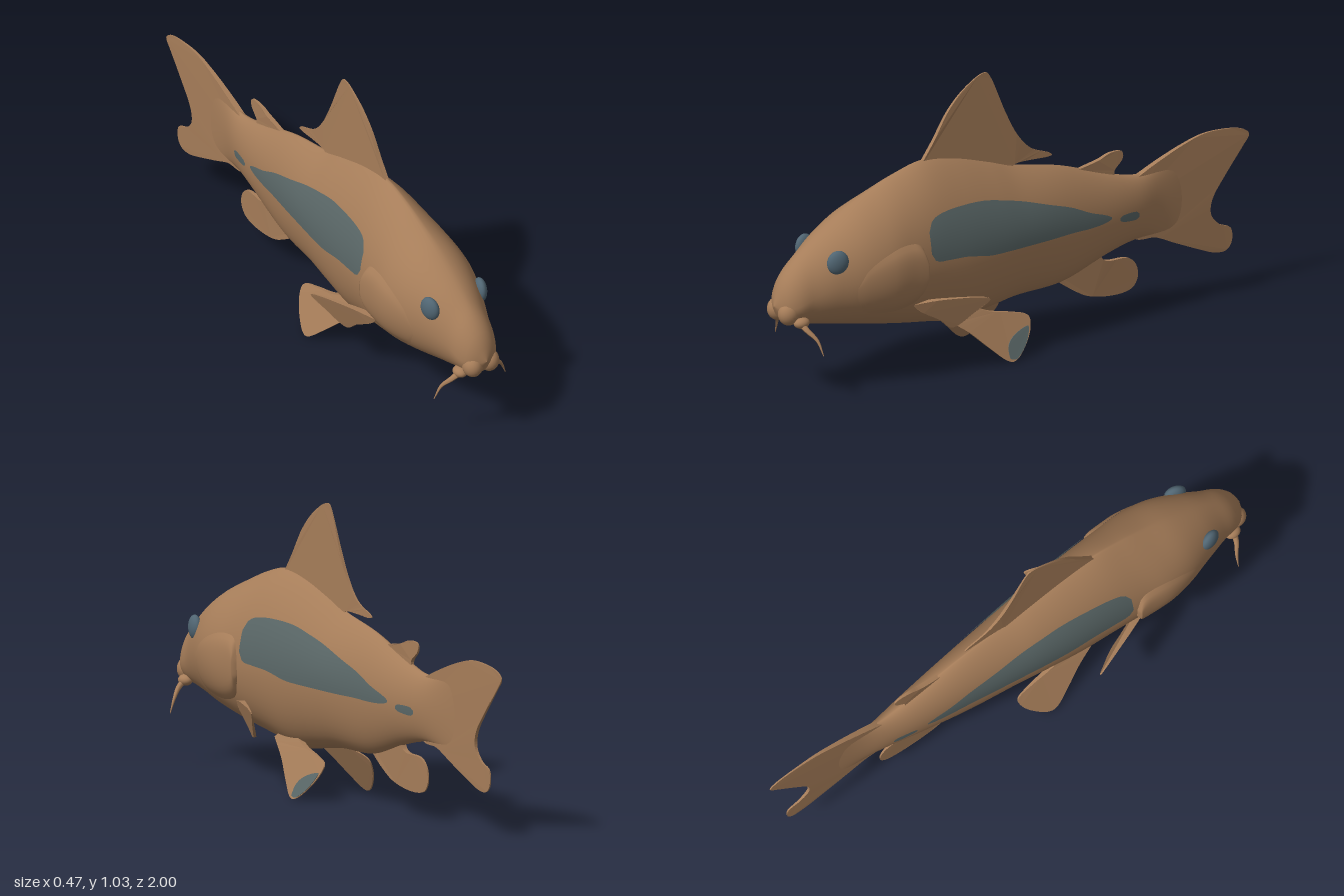
import * as THREE from 'three';

const skin = new THREE.MeshStandardMaterial({ name: 'tan skin', color: 0xa67d59 });
const slate = new THREE.MeshStandardMaterial({ name: 'slate marking', color: 0x5a6767 });
const eyeBlue = new THREE.MeshStandardMaterial({ name: 'blue grey eye', color: 0x506572 });

// Body stations: z, bottom, top, widest height, half width, upper roundness
const STATIONS = [
  [0.998, 0.344, 0.346, 0.345, 0.001, 1], [0.98, 0.3, 0.41, 0.34, 0.045, 1],
  [0.94, 0.275, 0.47, 0.35, 0.075, 1], [0.88, 0.26, 0.525, 0.38, 0.092, 1.1],
  [0.8, 0.245, 0.585, 0.41, 0.122, 1.1], [0.7, 0.225, 0.645, 0.42, 0.155, 1.2],
  [0.6, 0.205, 0.69, 0.42, 0.168, 1.4], [0.5, 0.185, 0.73, 0.42, 0.16, 1.5],
  [0.38, 0.165, 0.76, 0.42, 0.15, 1.6], [0.25, 0.145, 0.745, 0.42, 0.14, 1.7],
  [0.1, 0.165, 0.7, 0.42, 0.125, 1.7], [0, 0.18, 0.665, 0.42, 0.113, 1.7],
  [-0.2, 0.19, 0.62, 0.41, 0.088, 1.5], [-0.4, 0.255, 0.55, 0.4, 0.063, 1.3],
  [-0.52, 0.28, 0.52, 0.4, 0.042, 1.2], [-0.62, 0.27, 0.535, 0.4, 0.02, 1.2],
  [-0.75, 0.23, 0.58, 0.4, 0.004, 1.2],
];

// Smooth interpolation of rows whose first value is a falling z
function sample(rows, z) {
  let i = 0;
  while (i < rows.length - 2 && z < rows[i + 1][0]) i++;
  const a = rows[i], b = rows[i + 1];
  const p = rows[Math.max(i - 1, 0)], n = rows[Math.min(i + 2, rows.length - 1)];
  const h = b[0] - a[0], t = THREE.MathUtils.clamp((z - a[0]) / h, 0, 1);
  return a.map((v, k) => {
    const m0 = h * (b[k] - p[k]) / (b[0] - p[0]), m1 = h * (n[k] - v) / (n[0] - a[0]);
    const t2 = t * t, t3 = t2 * t;
    return v * (2 * t3 - 3 * t2 + 1) + m0 * (t3 - 2 * t2 + t) + b[k] * (3 * t2 - 2 * t3) + m1 * (t3 - t2);
  });
}

// Half width of the body at a height and length
function bodyX(y, z) {
  const [, bot, top, mid, w, p] = sample(STATIONS, z);
  const t = y > mid ? (y - mid) / (top - mid) : (mid - y) / (mid - bot);
  return w * Math.pow(Math.max(0, 1 - t * t), (y > mid ? p : 1) / 2);
}

// Grid surface; columns and rows come from point(i, j)
function gridGeometry(cols, rows, wrap, flip, point) {
  const pos = [], idx = [], per = wrap ? rows : rows + 1;
  for (let i = 0; i <= cols; i++) for (let j = 0; j < per; j++) pos.push(...point(i, j));
  for (let i = 0; i < cols; i++) for (let j = 0; j < rows; j++) {
    const a = i * per + j, c = i * per + (j + 1) % per, b = a + per, d = c + per;
    idx.push(...(flip ? [a, c, b, b, c, d] : [a, b, c, b, d, c]));
  }
  const g = new THREE.BufferGeometry();
  g.setAttribute('position', new THREE.Float32BufferAttribute(pos, 3));
  g.setIndex(idx);
  g.computeVertexNormals();
  return g;
}

function bodyGeometry() {
  const N = 90, M = 48;
  return gridGeometry(N, M, true, false, (i, j) => {
    const u = i / N, z = 0.998 - 1.748 * (0.35 * u * u + 0.65 * u);
    const [, bot, top, mid, w, p] = sample(STATIONS, z);
    const a = j / M * Math.PI * 2, s = Math.sin(a), c = Math.cos(a);
    const x = Math.sign(c) * w * Math.pow(Math.abs(c), s > 0 ? p : 1);
    return [x, mid + s * (s > 0 ? top - mid : mid - bot), z];
  });
}

// Plate that hugs the flank; outline rows are z, low, high
function flankGeometry(outline, side, lift) {
  const N = 48, M = 14, z0 = outline[0][0], z1 = outline[outline.length - 1][0];
  return gridGeometry(N, M, false, side < 0, (i, j) => {
    const z = z0 + (z1 - z0) * i / N, [, lo, hi] = sample(outline, z), y = lo + (hi - lo) * j / M;
    return [side * (bodyX(y, z) + lift(i / N, j / M)), y, z];
  });
}

// Fin from a (z, y) outline, thinning away from its root, placed by spread(z, y)
function finGeometry(points, { root, length, thick, tip = 0.005, spread = () => 0 }) {
  const v = points.map(([z, y]) => new THREE.Vector2(-z, y));
  const outline = new THREE.SplineCurve([...v, v[0]]).getPoints(points.length * 6).slice(0, -1);
  const g = new THREE.ExtrudeGeometry(new THREE.Shape(outline), { depth: 1, bevelEnabled: false });
  const p = g.attributes.position;
  for (let i = 0; i < p.count; i++) {
    const z = -p.getX(i), y = p.getY(i);
    const d = Math.min(1, Math.hypot(z - root[0], y - root[1]) / length);
    p.setXYZ(i, spread(z, y) + (p.getZ(i) - 0.5) * THREE.MathUtils.lerp(thick, tip, d), y, z);
  }
  g.computeVertexNormals();
  return g;
}

// Whisker: a tube drawn in towards its tip
function whiskerGeometry(points, r) {
  const curve = new THREE.CatmullRomCurve3(points.map(q => new THREE.Vector3(...q)));
  const g = new THREE.TubeGeometry(curve, 16, r, 8), p = g.attributes.position, q = new THREE.Vector3();
  for (let i = 0; i < p.count; i++) {
    const t = Math.floor(i / 9) / 16;
    q.fromBufferAttribute(p, i).lerp(curve.getPointAt(t), t * 0.9);
    p.setXYZ(i, q.x, q.y, q.z);
  }
  g.computeVertexNormals();
  return g;
}

export function createModel() {
  const model = new THREE.Group();
  model.name = 'fish';
  const add = (name, geometry, material = skin) => {
    const m = new THREE.Mesh(geometry, material);
    m.name = name;
    model.add(m);
    return m;
  };
  const ball = (name, material, pos, size) => {
    const m = add(name, new THREE.SphereGeometry(1, 24, 16), material);
    m.position.set(...pos);
    m.scale.set(...size);
    return m;
  };

  add('body', bodyGeometry());

  // Fins on the centre line
  add('dorsalFin', finGeometry([[0.38, 0.75], [0.33, 0.82], [0.27, 0.915], [0.2, 0.985], [0.12, 1.028],
    [0.085, 1.0], [0.03, 0.87], [-0.02, 0.775], [-0.08, 0.71], [-0.16, 0.675], [-0.15, 0.662], [-0.01, 0.665],
    [0.02, 0.62], [0.2, 0.65], [0.36, 0.68]], { root: [0.2, 0.7], length: 0.3, thick: 0.03 }));
  add('tailFin', finGeometry([[-0.5, 0.5], [-0.6, 0.545], [-0.72, 0.59], [-0.82, 0.613], [-0.94, 0.605],
    [-0.997, 0.575], [-0.97, 0.53], [-0.9, 0.445], [-0.845, 0.37], [-0.835, 0.31], [-0.87, 0.265], [-0.92, 0.24],
    [-0.925, 0.19], [-0.9, 0.16], [-0.85, 0.162], [-0.78, 0.19], [-0.68, 0.235], [-0.6, 0.272], [-0.5, 0.3]],
  { root: [-0.55, 0.4], length: 0.4, thick: 0.03 }));
  add('adiposeFin', finGeometry([[-0.28, 0.59], [-0.36, 0.605], [-0.41, 0.622], [-0.46, 0.62], [-0.465, 0.59],
    [-0.43, 0.555], [-0.42, 0.52], [-0.32, 0.53]], { root: [-0.35, 0.55], length: 0.14, thick: 0.025 }));
  add('analFin', finGeometry([[-0.18, 0.2], [-0.25, 0.15], [-0.32, 0.112], [-0.42, 0.093], [-0.5, 0.1],
    [-0.53, 0.14], [-0.52, 0.19], [-0.48, 0.22], [-0.4, 0.225], [-0.37, 0.25], [-0.36, 0.3], [-0.24, 0.25]],
  { root: [-0.27, 0.22], length: 0.27, thick: 0.03 }));

  const flankMark = [[0.44, 0.47, 0.545], [0.42, 0.44, 0.58], [0.37, 0.432, 0.598], [0.28, 0.425, 0.603],
    [0.18, 0.405, 0.597], [0.08, 0.4, 0.575], [0, 0.398, 0.553], [-0.1, 0.396, 0.52], [-0.2, 0.396, 0.487],
    [-0.28, 0.393, 0.45], [-0.35, 0.397, 0.425], [-0.375, 0.405, 0.412]];
  const tailMark = [[-0.415, 0.388, 0.398], [-0.43, 0.38, 0.405], [-0.49, 0.373, 0.403], [-0.505, 0.38, 0.393]];
  const gill = [[0.74, 0.36, 0.4], [0.7, 0.3, 0.46], [0.6, 0.28, 0.51], [0.52, 0.29, 0.52],
    [0.475, 0.32, 0.5], [0.455, 0.38, 0.44]];

  for (const s of [1, -1]) {
    const side = s > 0 ? 'left' : 'right';
    // Markings and gill cover
    add(side + 'FlankMark', flankGeometry(flankMark, s, () => 0.004), slate);
    add(side + 'TailMark', flankGeometry(tailMark, s, () => 0.004), slate);
    add(side + 'GillCover', flankGeometry(gill, s,
      (u, v) => u === 1 ? 0 : 0.018 * u * (1 - Math.pow(2 * v - 1, 6))));

    // Face
    ball(side + 'Eye', eyeBlue, [s * 0.105, 0.497, 0.8], [0.022, 0.044, 0.04]).rotation.y = s * -0.25;
    ball(side + 'Lip', skin, [s * 0.034, 0.32, 0.958], [0.036, 0.042, 0.04]);
    ball(side + 'MouthCorner', skin, [s * 0.064, 0.288, 0.925], [0.024, 0.02, 0.03]);
    add(side + 'Whisker', whiskerGeometry([[s * 0.06, 0.29, 0.93], [s * 0.095, 0.265, 0.92],
      [s * 0.125, 0.235, 0.9], [s * 0.15, 0.183, 0.89]], 0.013));

    // Paired fins
    add(side + 'PectoralFin', finGeometry([[0.5, 0.285], [0.4, 0.298], [0.25, 0.292], [0.29, 0.235], [0.35, 0.18],
      [0.4, 0.215], [0.47, 0.255]], { root: [0.47, 0.27], length: 0.22, thick: 0.03,
      spread: (z, y) => s * (0.25 - 0.45 * z + 0.318 * y) }));
    const spread = (z, y) => s * (0.155 - 0.48 * y);
    add(side + 'PelvicFin', finGeometry([[0.33, 0.18], [0.25, 0.125], [0.18, 0.06], [0.12, 0.008], [0.08, 0.005],
      [0.03, 0.045], [-0.005, 0.095], [-0.005, 0.135], [0.06, 0.155], [0.15, 0.175], [0.26, 0.22]],
    { root: [0.28, 0.18], length: 0.28, thick: 0.028, spread }));
    if (s > 0) add('leftPelvicFinMark', finGeometry([[0.108, 0.012], [0.105, 0.05], [0.075, 0.08], [0.02, 0.1],
      [0.003, 0.095], [0.03, 0.048], [0.078, 0.009]],
    { root: [0.28, 0.18], length: 0.28, thick: 0.032, tip: 0.009, spread }), slate);
  }
  return model;
}
